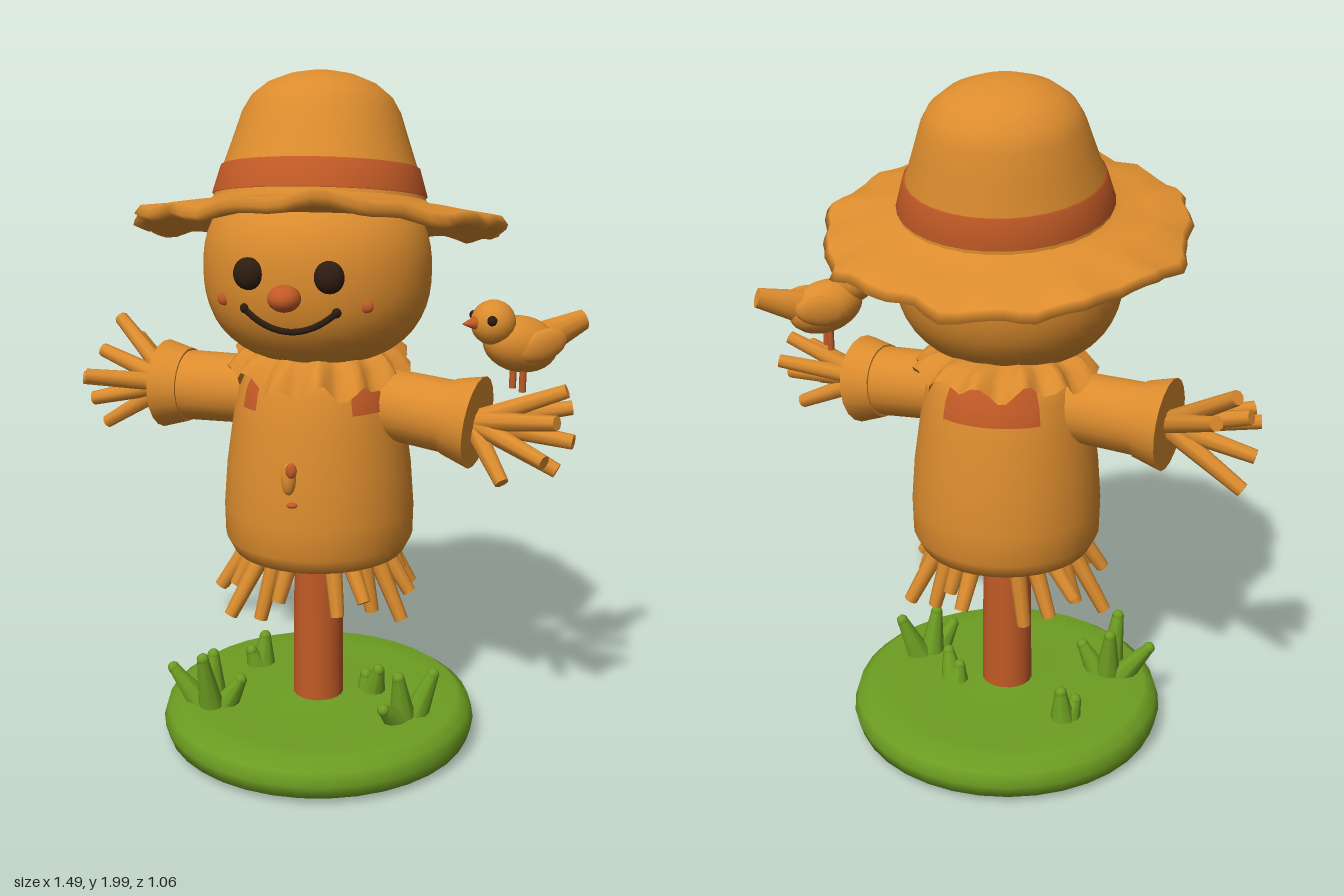
import * as THREE from 'three';
import { mergeVertices } from 'three/addons/utils/BufferGeometryUtils.js';

const mat = (name, color, side = THREE.FrontSide) => {
  const m = new THREE.MeshStandardMaterial({ color, side });
  m.name = name;
  return m;
};
const V = (x, y, z) => new THREE.Vector3(x, y, z);

export function createModel() {
  const straw = mat('straw', 0xdc8c2e);
  const cloth = mat('collarStraw', 0xdc8c2e, THREE.DoubleSide);
  const rust = mat('rust', 0xc25a26, THREE.DoubleSide);
  const dark = mat('dark', 0x2e1c10);
  const grass = mat('grass', 0x6d9e22);
  const root = new THREE.Group();
  root.name = 'scarecrow';

  const add = (name, geo, m, parent = root, pos = [0, 0, 0], scale = [1, 1, 1]) => {
    const mesh = new THREE.Mesh(geo, m);
    mesh.name = name;
    mesh.position.set(...pos);
    mesh.scale.set(...scale);
    parent.add(mesh);
    return mesh;
  };
  const group = (name, parent = root) => {
    const g = new THREE.Group();
    g.name = name;
    parent.add(g);
    return g;
  };
  const lathe = (pts, seg = 36, start = 0, len = Math.PI * 2) =>
    new THREE.LatheGeometry(pts.map(p => new THREE.Vector2(...p)), seg, start, len);
  // Tapered rod between two points
  const rod = (name, a, b, r0, r1, m, parent = root, seg = 8) => {
    const d = b.clone().sub(a);
    const mesh = add(name, new THREE.CylinderGeometry(r1, r0, d.length(), seg), m, parent);
    mesh.position.copy(a).addScaledVector(d, 0.5);
    mesh.quaternion.setFromUnitVectors(V(0, 1, 0), d.normalize());
    return mesh;
  };
  // Move each vertex by rule(vertex, radius, angle), then smooth
  const warp = (geo, rule) => {
    geo.deleteAttribute('uv');
    geo.deleteAttribute('normal');
    geo = mergeVertices(geo, 1e-4);
    const p = geo.attributes.position, v = V(0, 0, 0);
    for (let i = 0; i < p.count; i++) {
      v.fromBufferAttribute(p, i);
      rule(v, Math.hypot(v.x, v.z), Math.atan2(v.x, v.z));
      p.setXYZ(i, v.x, v.y, v.z);
    }
    geo.computeVertexNormals();
    return geo;
  };

  // Grassy base
  add('base', lathe([[0, 0], [0.43, 0], [0.465, 0.02], [0.477, 0.06], [0.465, 0.1], [0.43, 0.125],
    [0.36, 0.118], [0.12, 0.125], [0, 0.14]]), grass, root, [-0.015, 0, -0.012]);
  const tufts = [
    [-0.32, 0.09, [[-0.45, 0.22, 0.08], [-0.345, 0.285, 0.15], [-0.33, 0.26, 0.06], [-0.24, 0.2, 0.1]]],
    [0.26, 0.1, [[0.24, 0.25, 0.14], [0.34, 0.24, 0.08], [0.2, 0.175, 0.2]]],
    [0.14, -0.05, [[0.13, 0.17, -0.04], [0.17, 0.2, -0.01]]],
    [-0.22, -0.19, [[-0.21, 0.21, -0.2], [-0.25, 0.17, -0.17]]],
  ];
  for (const [x, z, tips] of tufts) for (const t of tips) {
    const base = V(x + (t[0] - x) * 0.3, 0.1, z + (t[2] - z) * 0.3);
    rod('grassBlade', base, V(...t), 0.042, 0.018, grass);
    add('grassTip', new THREE.SphereGeometry(0.019, 8, 6), grass, root, t);
  }

  // Post
  add('post', new THREE.CylinderGeometry(0.072, 0.077, 0.58, 20), rust, root, [-0.015, 0.4, -0.005]);

  // Shirt body with a darker underside
  const body = group('body');
  body.position.set(-0.012, 0, -0.005);
  add('shirt', lathe([[0, 0.62], [0.2, 0.6], [0.255, 0.615], [0.278, 0.66], [0.28, 0.75], [0.27, 0.88],
    [0.25, 1.02], [0.23, 1.12], [0.2, 1.18], [0.12, 1.22], [0, 1.23]]), straw, body);
  add('shirtUnderside', new THREE.CylinderGeometry(0.21, 0.21, 0.01, 28), rust, body, [0, 0.603, 0]);
  for (const [start, len] of [[0.5, 0.75], [-0.95, 0.25], [2.5, 1.2]])
    add('yokePatch', lathe([[0.245, 1.07], [0.235, 1.12], [0.205, 1.182]], 12, start, len), rust, body);
  add('buttonStrip', new THREE.SphereGeometry(0.03, 12, 8), straw, body, [-0.055, 0.9, 0.268], [0.7, 1.6, 0.6]);
  add('topButton', new THREE.SphereGeometry(0.016, 10, 8), rust, body, [-0.045, 0.93, 0.288], [1, 1.4, 0.6]);
  add('bottomButton', new THREE.SphereGeometry(0.016, 10, 8), rust, body, [-0.045, 0.825, 0.276], [1, 0.5, 0.7]);

  // Straw hem
  const hem = group('hem');
  for (let i = 0; i < 20; i++) {
    const cluster = Math.floor(i / 5), k = i % 5 - 2;
    const a = Math.PI / 4 + cluster * Math.PI / 2 + k * 0.24;
    const r = 0.29 + 0.035 * Math.sin(i * 2.3), y = 0.48 + 0.045 * Math.sin(i * 1.7);
    rod('hemStraw', V(Math.sin(a) * 0.2 - 0.012, 0.64, Math.cos(a) * 0.2),
      V(Math.sin(a) * r - 0.02, y, Math.cos(a) * r * 0.85), 0.027, 0.02, straw, hem);
  }

  // Arms, the right one swung back and the left one forward
  const arms = [
    ['rightArm', V(-0.47, 1.065, -0.12), [[-0.67, 1.225, -0.3], [-0.62, 1.16, -0.33], [-0.71, 1.14, -0.22],
      [-0.74, 1.08, -0.1], [-0.73, 1.0, -0.16], [-0.7, 0.915, -0.2], [-0.72, 1.1, -0.05]]],
    ['leftArm', V(0.43, 1.045, 0.13), [[0.69, 1.15, 0.17], [0.71, 1.09, 0.12], [0.71, 1.02, 0.22],
      [0.67, 0.93, 0.2], [0.66, 1.09, 0.285], [0.52, 0.905, 0.25], [0.63, 0.98, 0.29]]],
  ];
  for (const [name, wrist, tips] of arms) {
    const arm = group(name);
    const shoulder = V(Math.sign(wrist.x) * 0.12, 1.075, wrist.z * 0.2);
    const out = wrist.clone().sub(shoulder).normalize();
    rod('sleeve', shoulder, wrist, 0.1, 0.105, straw, arm, 20);
    rod('cuff', wrist.clone().addScaledVector(out, -0.06), wrist.clone().addScaledVector(out, 0.02),
      0.11, 0.132, straw, arm, 20);
    for (const t of tips) {
      const tip = V(...t);
      rod('strawFinger', wrist.clone().lerp(tip, 0.02), tip, 0.03, 0.021, straw, arm);
    }
  }

  // Ragged collar, lower at the front
  const collar = warp(lathe([[0.1, 1.225], [0.19, 1.235], [0.235, 1.205], [0.265, 1.16]], 72), (v, r, a) => {
    if (r < 0.18) return;
    const k = (r - 0.18) / 0.085;
    const wave = Math.sin(a * 13) + 0.5 * Math.sin(a * 7 + 1);
    v.y += k * 0.022 * wave - k * 0.025 * Math.cos(a);
    const s = 1 + 0.06 * k * Math.sin(a * 13 + 0.8) + 0.06 * k * (1 - Math.cos(a)) / 2;
    v.x *= s * 0.93;
    v.z *= s;
  });
  add('collar', collar, cloth, root, [-0.012, 0, -0.015]);

  // Head, turned a little to its right
  const head = group('head');
  head.position.set(-0.015, 0, 0.012);
  head.rotation.y = -0.16;
  const headR = y => 0.325 * Math.pow(Math.max(0, 1 - Math.pow(Math.abs(y - 1.45) / 0.27, 2.4)), 1 / 2.4);
  const profile = [];
  for (let i = 0; i <= 24; i++) {
    const y = 1.45 - 0.27 * Math.cos(Math.PI * i / 24);
    profile.push([headR(y), y]);
  }
  add('skull', lathe(profile, 40), straw, head, [0, 0, 0], [1, 1, 0.91]);
  const onFace = (x, y, lift = 0) => V(x, y, 0.91 * Math.sqrt(headR(y) ** 2 - x * x) + lift);
  for (const s of [-1, 1]) {
    add('eye', new THREE.SphereGeometry(0.042, 16, 12), dark, head, onFace(s * 0.112, 1.475, 0.004).toArray(), [1, 1.05, 0.7]);
    add('cheek', new THREE.SphereGeometry(0.02, 12, 8), rust, head, onFace(s * 0.2, 1.392, -0.002).toArray(), [1, 0.9, 0.5]);
  }
  add('nose', new THREE.SphereGeometry(0.045, 16, 12), rust, head, onFace(0, 1.42, 0.025).toArray(), [1, 0.8, 1]);
  const smile = [];
  for (let i = -4; i <= 4; i++) smile.push(onFace(i * 0.032, 1.322 + 0.055 * (i / 4) ** 2, 0));
  add('mouth', new THREE.TubeGeometry(new THREE.CatmullRomCurve3(smile), 32, 0.01, 6), dark, head);
  for (const s of [-1, 1])
    add('mouthCorner', new THREE.SphereGeometry(0.014, 8, 6), dark, head, onFace(s * 0.128, 1.378).toArray());

  // Hat, tipped back
  const hat = group('hat');
  hat.position.set(-0.01, 1.6, 0);
  hat.rotation.x = -0.21;
  const brim = warp(lathe([[0, -0.015], [0.3, -0.015], [0.4, -0.025], [0.485, -0.035], [0.51, -0.02],
    [0.495, 0.003], [0.4, 0.015], [0.32, 0.025], [0.28, 0.05]], 80), (v, r, a) => {
    const k = Math.max(0, (r - 0.38) / 0.13);
    const s = 1 + k * (0.016 * Math.sin(a * 9) + 0.014 * Math.sin(a * 17 + 1) + 0.01 * Math.sin(a * 26));
    v.x *= s;
    v.z *= s * (1 + 0.04 * k);
    v.y += k * (0.012 * Math.sin(a * 5 + 1) + 0.008 * Math.sin(a * 14) - 0.022 * Math.sin(a) ** 2);
  });
  add('brim', brim, straw, hat);
  add('crown', lathe([[0.305, 0], [0.295, 0.06], [0.272, 0.13], [0.245, 0.21], [0.222, 0.28], [0.198, 0.322],
    [0.155, 0.357], [0.1, 0.38], [0.05, 0.391], [0, 0.394]], 32), straw, hat);
  add('hatBand', lathe([[0.29, 0.045], [0.302, 0.05], [0.279, 0.128], [0.268, 0.13]], 32), rust, hat);

  // Bird perched on the left hand
  const bird = group('bird');
  bird.position.set(0.56, 1.27, 0.13);
  bird.rotation.y = 0.55;
  const torso = add('birdBody', new THREE.SphereGeometry(1, 20, 14), straw, bird, [0, 0, 0], [0.115, 0.078, 0.078]);
  torso.rotation.z = -0.25;
  add('birdHead', new THREE.SphereGeometry(0.062, 18, 12), straw, bird, [-0.09, 0.068, 0]);
  rod('beak', V(-0.14, 0.072, 0), V(-0.185, 0.072, 0), 0.022, 0.002, rust, bird);
  for (const s of [-1, 1]) {
    add('birdEye', new THREE.SphereGeometry(0.014, 10, 8), dark, bird, [-0.122, 0.083, s * 0.046]);
    rod('birdLeg', V(-0.005, -0.06, s * 0.025), V(-0.005, -0.13, s * 0.025), 0.01, 0.01, rust, bird);
    const wing = add('wing', new THREE.SphereGeometry(1, 14, 10), straw, bird, [0.03, 0.005, s * 0.062], [0.08, 0.045, 0.022]);
    wing.rotation.z = 0.2;
  }
  const tail = rod('tail', V(0.05, 0, 0), V(0.205, 0.05, 0), 0.055, 0.03, straw, bird, 12);
  tail.scale.z = 0.8;

  return root;
}
